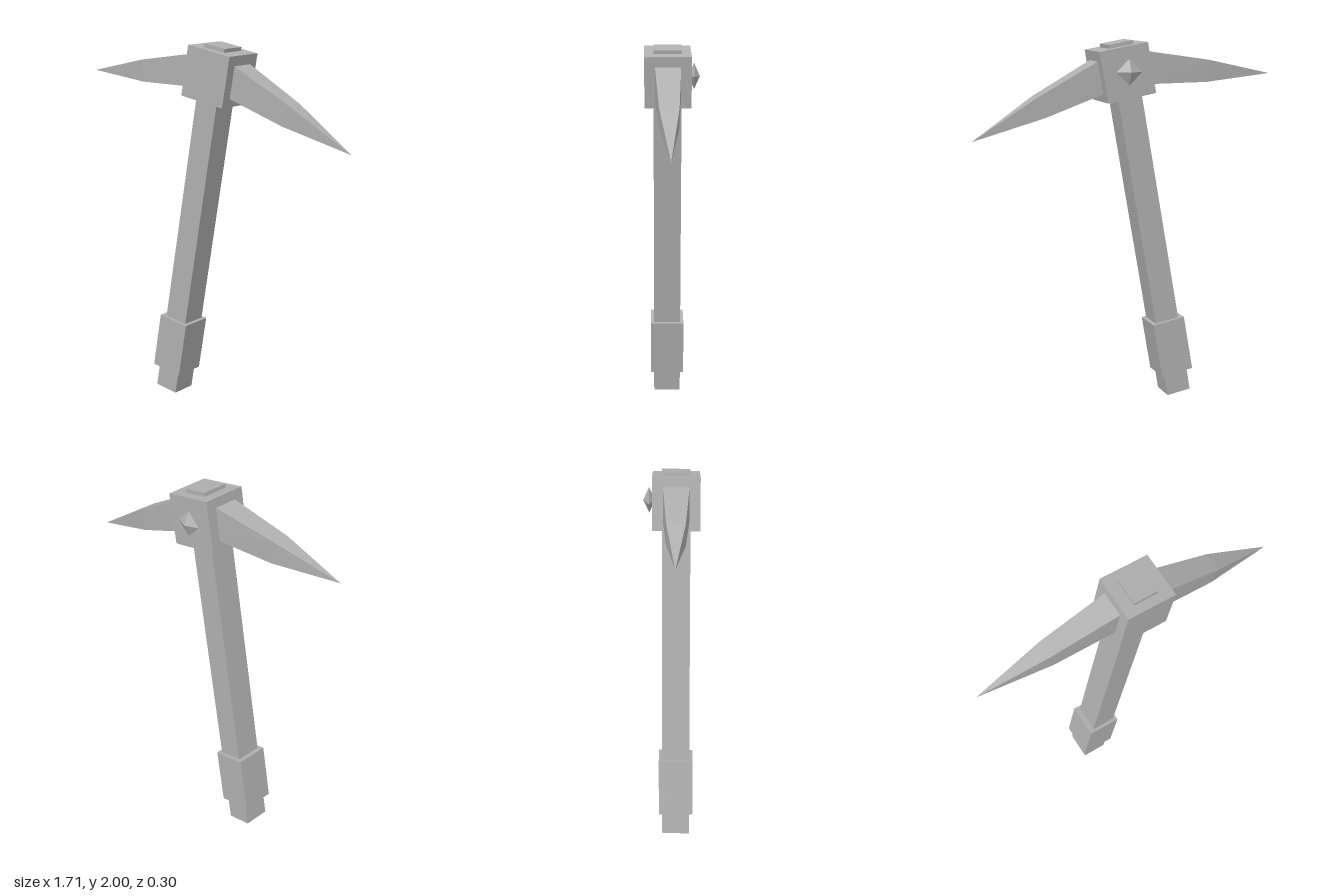
import * as THREE from 'three';
import { ConvexGeometry } from 'three/addons/geometries/ConvexGeometry.js';

const MID_Z = 0.023;

export function createModel() {
  const model = new THREE.Group();
  model.name = 'pickaxe';
  const grey = new THREE.MeshStandardMaterial({ color: 0xb0b0b0, flatShading: true });
  grey.name = 'grey';

  const add = (parent, name, geometry, x = 0, y = 0, z = 0) => {
    const mesh = new THREE.Mesh(geometry, grey);
    mesh.name = name;
    mesh.position.set(x, y, z);
    parent.add(mesh);
    return mesh;
  };

  // Handle, grip and head block share one tilt about the head centre
  const shaft = new THREE.Group();
  shaft.name = 'tiltedShaft';
  shaft.position.set(0.033, 1.835, MID_Z);
  shaft.rotation.z = THREE.MathUtils.degToRad(-10);
  model.add(shaft);
  add(shaft, 'headBlock', new THREE.BoxGeometry(0.274, 0.274, 0.248));
  add(shaft, 'handle', new THREE.BoxGeometry(0.137, 2.004, 0.148), -0.005, -0.845, 0);
  add(shaft, 'grip', new THREE.BoxGeometry(0.185, 0.311, 0.185), -0.009, -1.567, 0);

  // Pick: rectangular sections [topX, topY, bottomX, bottomY, halfWidth] closing to a tip
  const addPick = (name, sections, tip) => {
    const points = [new THREE.Vector3(tip[0], tip[1], MID_Z - 0.002)];
    for (const [tx, ty, bx, by, half] of sections) {
      for (const side of [-half, half]) {
        points.push(new THREE.Vector3(tx, ty, MID_Z + side), new THREE.Vector3(bx, by, MID_Z + side));
      }
    }
    add(model, name, new ConvexGeometry(points));
  };
  addPick('rightPick', [
    [-0.04, 1.951, -0.07, 1.767, 0.07],
    [-0.465, 1.888, -0.455, 1.768, 0.048],
  ], [-0.853, 1.803]);
  addPick('leftPick', [
    [0.13, 1.922, 0.1, 1.74, 0.071],
    [0.508, 1.714, 0.468, 1.605, 0.051],
  ], [0.853, 1.49]);

  // Faceted stud on the back of the head
  const stud = add(model, 'backStud', new THREE.OctahedronGeometry(1), 0.033, 1.839, -0.118);
  stud.scale.set(0.072, 0.07, 0.031);

  return model;
}
